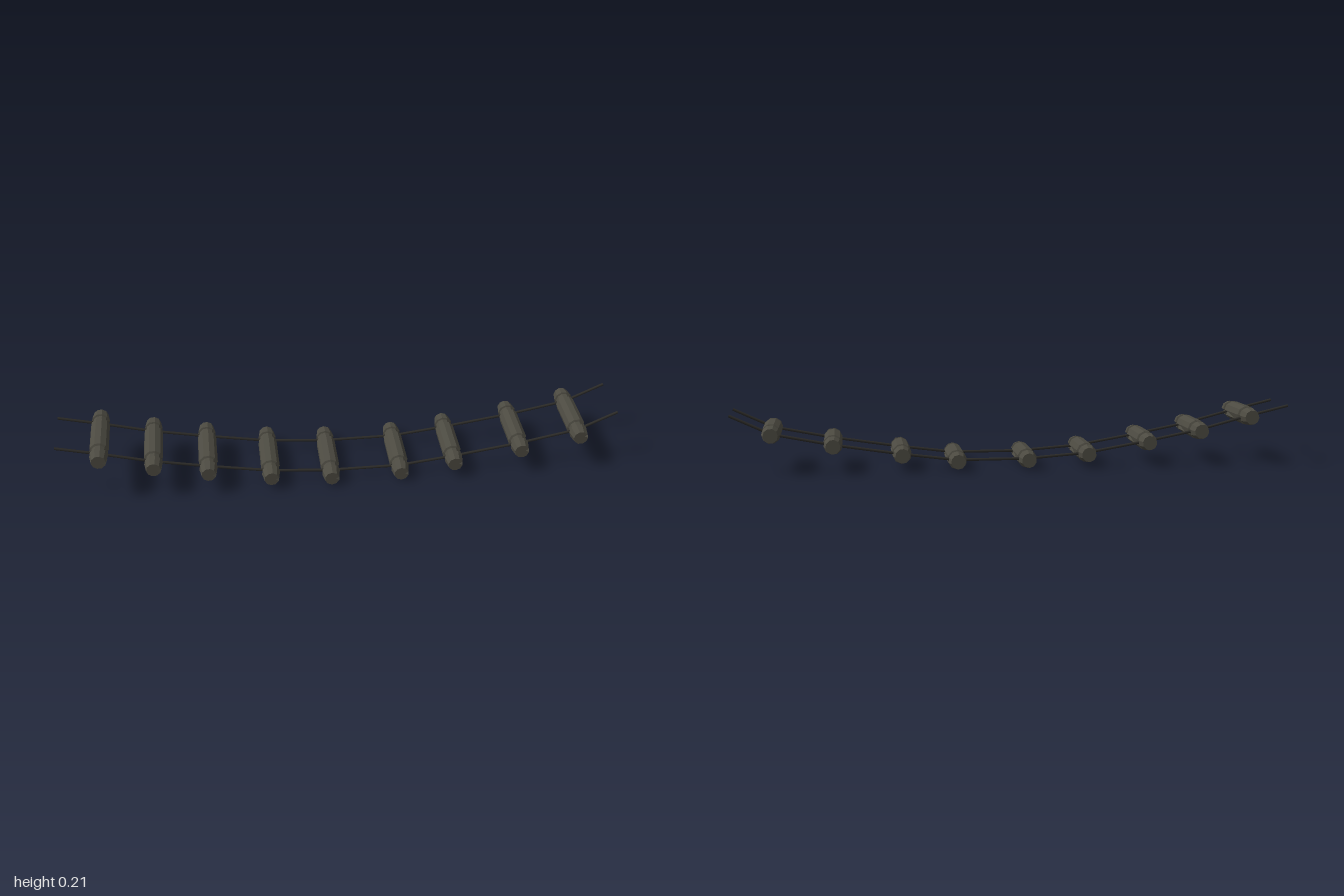
import * as THREE from 'three';

const woodMaterial = new THREE.MeshStandardMaterial({ color: 0x4c4a41, flatShading: true, roughness: 0.9 });
const ropeMaterial = new THREE.MeshStandardMaterial({ color: 0x2b2a27, roughness: 0.9 });

// Log centres along the sagging walkway: x, y
const logs = [
  [-0.85, 0.174], [-0.665, 0.126], [-0.475, 0.089], [-0.255, 0.051], [-0.04, 0.035],
  [0.21, 0.035], [0.405, 0.06], [0.645, 0.097], [0.857, 0.139],
];
const ropeEnds = [[-0.999, 0.209], [0.999, 0.205]];
const ropeZ = 0.093;

// Log cross-sections from back to front: z, radius, crack depth (0 to 1)
const rings = [
  [-0.146, 0.026, 0], [-0.105, 0.033, 0], [-0.103, 0.027, 0], [-0.08, 0.027, 0], [-0.077, 0.034, 0],
  [-0.025, 0.034, 0], [0.077, 0.034, 0.6], [0.08, 0.027, 0.6], [0.103, 0.027, 0.75],
  [0.105, 0.033, 0.75], [0.146, 0.026, 1],
];

// Ten-sided grooved log with a split that opens towards its front end
function logGeometry() {
  const sides = 10;
  const angles = [0]; // the first column is the bottom of the split
  for (let i = 0; i < sides; i++) angles.push(((i + 0.5) / sides) * Math.PI * 2);
  const n = angles.length;
  const positions = [];
  const index = [];
  for (const [z, r, crack] of rings) {
    angles.forEach((a, i) => {
      const flat = r * Math.cos(Math.PI / sides);
      const radius = i === 0 ? flat * (1 - 0.45 * crack) : r;
      // The lips of the split close up where the crack ends
      let angle = a;
      if (i === 1) angle = a * (1 - 0.15 * crack);
      if (i === n - 1) angle = a + (Math.PI * 2 - a) * 0.15 * crack;
      positions.push(Math.cos(angle) * radius, Math.sin(angle) * radius, z);
    });
  }
  for (let k = 0; k < rings.length - 1; k++) {
    for (let i = 0; i < n; i++) {
      const a = k * n + i, b = k * n + ((i + 1) % n);
      index.push(a, b, b + n, a, b + n, a + n);
    }
  }
  // End caps
  const back = positions.length / 3;
  positions.push(0, 0, rings[0][0], 0, 0, rings[rings.length - 1][0]);
  const last = (rings.length - 1) * n;
  for (let i = 0; i < n; i++) {
    const j = (i + 1) % n;
    index.push(back, j, i, back + 1, last + i, last + j);
  }
  const geometry = new THREE.BufferGeometry();
  geometry.setAttribute('position', new THREE.Float32BufferAttribute(positions, 3));
  geometry.setIndex(index);
  const flat = geometry.toNonIndexed();
  flat.computeVertexNormals();
  return flat;
}

// Straight rope length between two points
function ropeSegment(from, to) {
  const direction = to.clone().sub(from);
  const mesh = new THREE.Mesh(new THREE.CylinderGeometry(0.005, 0.005, direction.length(), 8), ropeMaterial);
  mesh.position.copy(from).add(to).multiplyScalar(0.5);
  mesh.quaternion.setFromUnitVectors(new THREE.Vector3(0, 1, 0), direction.normalize());
  mesh.name = 'ropeSegment';
  return mesh;
}

export function createModel() {
  const bridge = new THREE.Group();
  bridge.name = 'logRopeBridge';

  // Logs, each turned a little with the slope of the ropes
  const geometry = logGeometry();
  const path = [ropeEnds[0], ...logs, ropeEnds[1]];
  logs.forEach(([x, y], i) => {
    const log = new THREE.Mesh(geometry, woodMaterial);
    log.name = 'log' + (i + 1);
    log.position.set(x, y, 0);
    const [before, after] = [path[i], path[i + 2]];
    log.rotation.z = Math.atan2(after[1] - before[1], after[0] - before[0]);
    bridge.add(log);
  });

  // Two ropes threaded through the grooves
  for (const side of [1, -1]) {
    const rope = new THREE.Group();
    rope.name = side > 0 ? 'frontRope' : 'backRope';
    const points = path.map(([x, y]) => new THREE.Vector3(x, y, side * ropeZ));
    for (let i = 0; i < points.length - 1; i++) rope.add(ropeSegment(points[i], points[i + 1]));
    bridge.add(rope);
  }
  return bridge;
}
